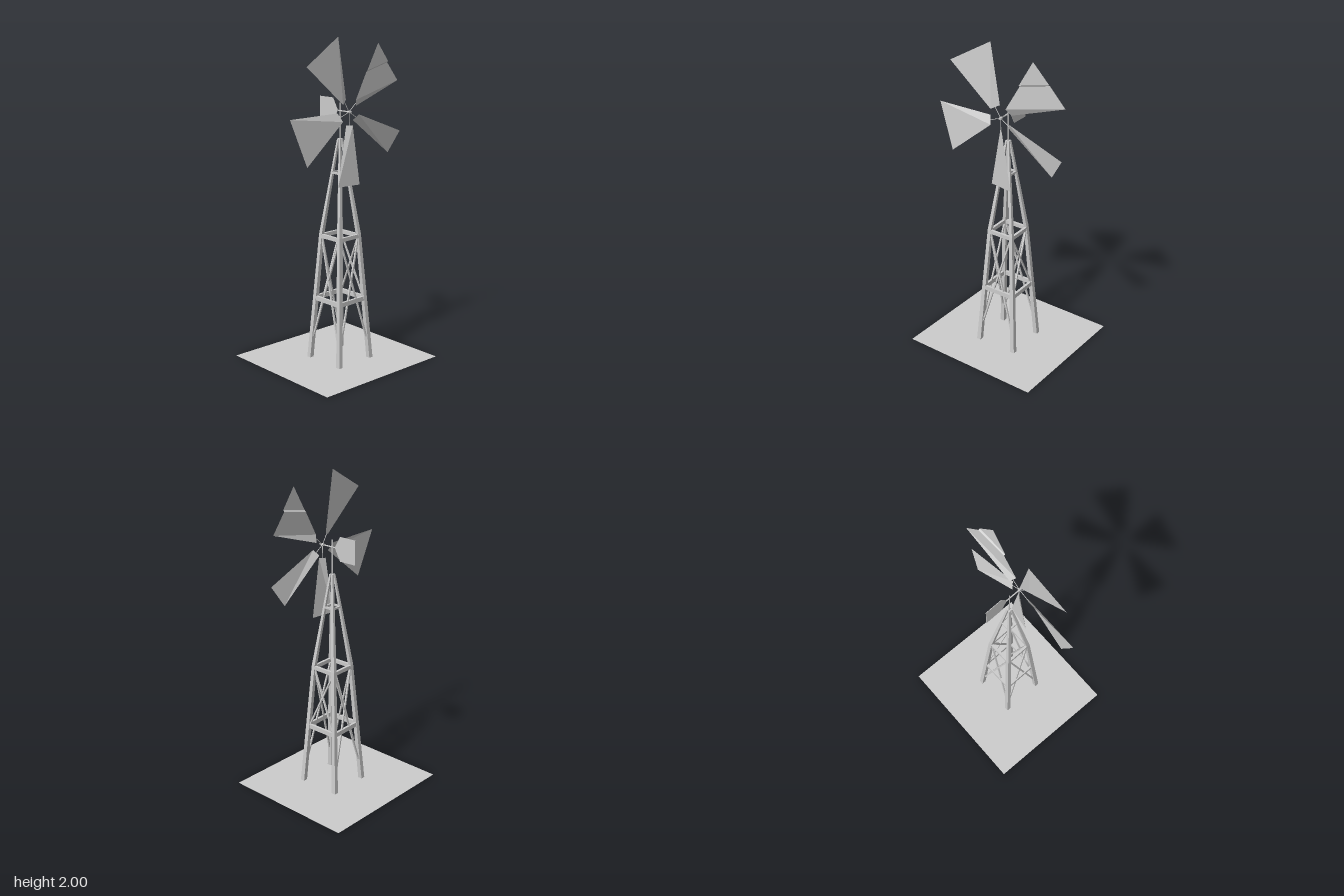
import * as THREE from 'three';

const grey = () => new THREE.MeshStandardMaterial({ color: 0xcccccc, flatShading: true });
const solid = grey();
const thin = grey();
thin.side = THREE.DoubleSide;

const CX = 0.012, CZ = 0.024;          // tower axis
const HUB = [CX, 1.557, 0.1];          // wheel centre

function add(parent, name, geometry, material = solid) {
  const mesh = new THREE.Mesh(geometry, material);
  mesh.name = name;
  parent.add(mesh);
  return mesh;
}

// Leaning square bar: the two ends stay level, each with its own width
function bar(a, b, wa, wb = wa) {
  const g = new THREE.BoxGeometry(1, 1, 1);
  const p = g.attributes.position;
  for (let i = 0; i < p.count; i++) {
    const [end, w] = p.getY(i) > 0 ? [b, wb] : [a, wa];
    p.setXYZ(i, end[0] + p.getX(i) * w, end[1], end[2] + p.getZ(i) * w);
  }
  g.computeVertexNormals();
  return g;
}

// Round rod between two points
function rod(a, b, r) {
  const path = new THREE.LineCurve3(new THREE.Vector3(...a), new THREE.Vector3(...b));
  return new THREE.TubeGeometry(path, 1, r, 6);
}

// Sheet made of triangles given by their corner points
function sheet(triangles) {
  const g = new THREE.BufferGeometry();
  g.setAttribute('position', new THREE.Float32BufferAttribute(triangles.flat(2), 3));
  g.computeVertexNormals();
  return g;
}

const mid = (a, b) => a.map((v, i) => (v + b[i]) / 2);

// Distance of a leg's centre line from the tower axis at height y
const legOffset = (y) => y < 0.8
  ? THREE.MathUtils.mapLinear(y, 0, 0.8, 0.131, 0.079)
  : THREE.MathUtils.mapLinear(y, 0.8, 1.39, 0.079, 0.007);

function buildTower() {
  const tower = new THREE.Group();
  tower.name = 'tower';
  tower.position.set(CX, 0, CZ);

  // Four legs, bent inwards at the upper frame
  for (const sx of [-1, 1]) for (const sz of [-1, 1]) {
    const at = (y) => [sx * legOffset(y), y, sz * legOffset(y)];
    add(tower, 'lowerLeg', bar(at(0), at(0.8), 0.028, 0.023));
    add(tower, 'upperLeg', bar(at(0.8), at(1.39), 0.023, 0.012));
  }

  // Square frames of horizontal rails
  for (const [y, h, t] of [[0.39, 0.028, 0.016], [0.788, 0.024, 0.016], [1.182, 0.012, 0.01]]) {
    const d = legOffset(y);
    for (let k = 0; k < 4; k++) {
      const rail = new THREE.BoxGeometry(2 * d, h, t);
      rail.translate(0, 0, d + 0.002);
      add(tower, 'rail', rail.rotateY(k * Math.PI / 2)).position.y = y;
    }
  }

  // Crossed braces on each face
  for (let k = 0; k < 4; k++) {
    const low = k === 1 ? 0.4 : 0.14, high = 0.78;
    for (const s of [-1, 1]) {
      const a = [s * 0.9 * legOffset(low), low, legOffset(low)];
      const b = [-s * 0.93 * legOffset(high), high, legOffset(high)];
      add(tower, 'brace', bar(a, b, 0.01).rotateY(k * Math.PI / 2));
    }
  }

  add(tower, 'mast', rod([0, 1.37, 0], [0, 1.605, 0], 0.004));
  return tower;
}

function buildWheel() {
  const wheel = new THREE.Group();
  wheel.name = 'windWheel';
  const FRONT = 0.113, BACK = 0.087;

  // Blade corners in x, y: inner and outer forward edge, outer and inner rear edge
  const blades = [
    [[-0.05, 1.605], [-0.335, 1.845], [-0.065, 2.0], [-0.002, 1.63]],
    [[0.055, 1.625], [0.24, 1.95], [0.44, 1.71], [0.08, 1.585]],
    [[0.082, 1.537], [0.44, 1.4], [0.36, 1.27], [0.056, 1.503]],
    [[0.03, 1.475], [0.09, 1.11], [-0.065, 1.11], [0.0, 1.475]],
    [[-0.05, 1.505], [-0.335, 1.27], [-0.44, 1.555], [-0.07, 1.555]],
  ];
  blades.forEach((corners, i) => {
    const [a, b, c, d] = corners.map(([x, y], j) => [x, y, j < 2 ? FRONT : BACK]);
    const triangles = [[a, d, c]];
    if (i === 1) {
      // This blade is creased across its outer half
      const m = mid(a, b), n = mid(b, c);
      const lower = (p) => [p[0], p[1] - 0.004, p[2] - 0.006];
      const upper = (p) => [p[0], p[1] + 0.004, p[2] + 0.002];
      const [m0, n0, m1, n1] = [lower(m), lower(n), upper(m), upper(n)];
      triangles.push([a, c, n0], [a, n0, m0], [m0, n0, n1], [m0, n1, m1], [m1, n1, b]);
    } else {
      triangles.push([a, c, b]);
    }
    add(wheel, 'blade', sheet(triangles), thin);
    add(wheel, 'spoke', rod(HUB, mid(a, d), 0.002));
  });

  add(wheel, 'axle', rod([CX, HUB[1], 0.123], [CX, HUB[1], -0.002], 0.004));
  const hub = new THREE.CylinderGeometry(0.008, 0.008, 0.02, 8).rotateX(Math.PI / 2);
  add(wheel, 'hub', hub).position.set(...HUB);
  return wheel;
}

function buildTail() {
  // Flat vane, drawn in z and y
  const outline = [[0, 1.55], [0, 1.565], [-0.037, 1.63], [-0.15, 1.63], [-0.15, 1.48], [-0.037, 1.48]];
  const shape = new THREE.Shape(outline.map(([z, y]) => new THREE.Vector2(-z, y)));
  const vane = new THREE.ExtrudeGeometry(shape, { depth: 0.003, bevelEnabled: false });
  vane.translate(0, 0, -0.0015).rotateY(Math.PI / 2).translate(CX, 0, 0);
  return vane;
}

export function createModel() {
  const model = new THREE.Group();
  model.name = 'windPump';

  // Ground sheet, turned slightly
  const ground = new THREE.PlaneGeometry(0.92, 0.86).rotateX(-Math.PI / 2).rotateY(-0.025);
  add(model, 'groundSheet', ground, thin);

  model.add(buildTower(), buildWheel());
  add(model, 'tailVane', buildTail());
  return model;
}
